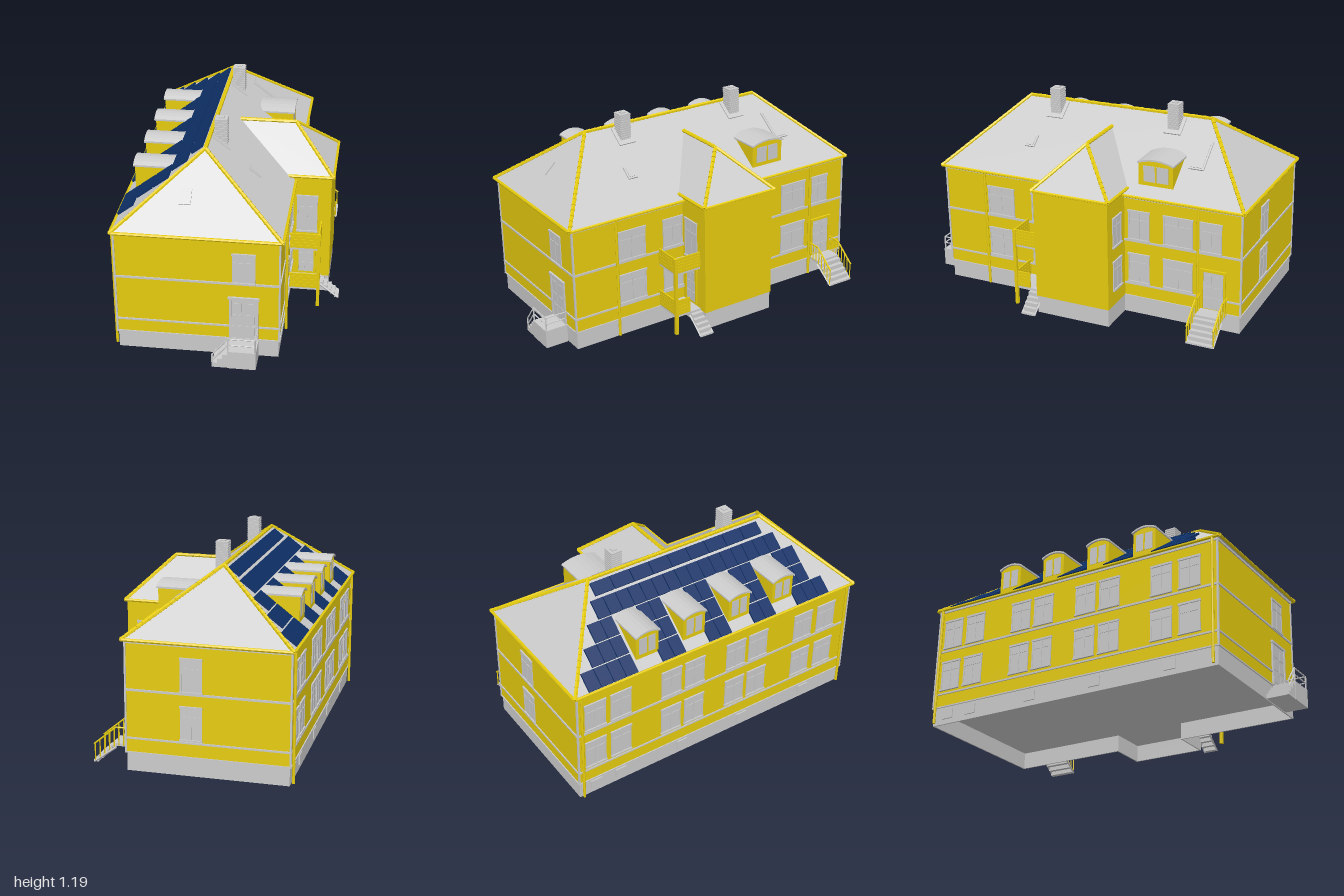
import * as THREE from 'three';
import { ConvexGeometry } from 'three/addons/geometries/ConvexGeometry.js';

const V = (x, y, z) => new THREE.Vector3(x, y, z);
const mat = (color) => new THREE.MeshStandardMaterial({ color, flatShading: true, side: THREE.DoubleSide });
const GREY = mat(0xcccccc), YELLOW = mat(0xe6cc0e), BLUE = mat(0x0d2f66);

// Main dimensions
const X0 = -0.567, X1 = 0.316, Z0 = -0.978, Z1 = 0.865; // main walls
const BX = 0.535, BZ0 = -0.287, BZ1 = 0.165;            // side bay
const BASE = 0.105, EAVE = 0.72, RIDGE = 1.065, RX = -0.1235;
const SLOPE = (RIDGE - EAVE) / 0.4565, ANGLE = Math.atan(SLOPE);
const roofY = (x) => RIDGE - SLOPE * Math.abs(x - RX);

function add(parent, name, geo, material, x = 0, y = 0, z = 0) {
  const m = new THREE.Mesh(geo, material);
  m.name = name;
  m.position.set(x, y, z);
  parent.add(m);
  return m;
}
// Box given by its limits
const span = (p, name, m, x0, x1, y0, y1, z0, z1) =>
  add(p, name, new THREE.BoxGeometry(x1 - x0, y1 - y0, z1 - z0), m, (x0 + x1) / 2, (y0 + y1) / 2, (z0 + z1) / 2);
// Round bar between two points
function bar(p, name, m, a, b, r, sides = 6, r2 = r) {
  const d = b.clone().sub(a);
  const c = add(p, name, new THREE.CylinderGeometry(r2, r, d.length(), sides), m);
  c.position.copy(a).lerp(b, 0.5);
  c.quaternion.setFromUnitVectors(V(0, 1, 0), d.normalize());
}
function group(parent, name) {
  const g = new THREE.Group();
  g.name = name;
  parent.add(g);
  return g;
}

// Group set on a wall, its +z pointing outwards
function onWall(p, name, side, u, y, plane) {
  const g = group(p, name);
  if (side === 'front' || side === 'back') g.position.set(u, y, plane);
  else g.position.set(plane, y, u);
  g.rotation.y = { front: 0, left: Math.PI / 2, back: Math.PI, right: -Math.PI / 2 }[side];
  return g;
}
function windowOn(p, side, u, y0, y1, w, plane) {
  const g = onWall(p, 'window', side, u, y0, plane), h = y1 - y0;
  span(g, 'pane', GREY, -w / 2, w / 2, 0, h, -0.005, 0.003);
  for (const x of [-w / 2, 0, w / 2]) span(g, 'upright', GREY, x - 0.004, x + 0.004, 0, h, 0, 0.006);
  span(g, 'transom', GREY, -w / 2, w / 2, h * 0.66, h * 0.66 + 0.007, 0, 0.006);
  span(g, 'lintel', GREY, -w / 2 - 0.007, w / 2 + 0.007, h - 0.012, h, 0, 0.009);
  span(g, 'sill', GREY, -w / 2 - 0.007, w / 2 + 0.007, -0.006, 0.004, 0, 0.011);
}
function doorOn(p, side, u, y0, y1, w, plane, frame) {
  const g = onWall(p, 'door', side, u, y0, plane), h = y1 - y0;
  span(g, 'leaf', GREY, -w / 2, w / 2, 0, h, -0.005, 0.004);
  for (const s of [-1, 1]) {
    span(g, 'jamb', frame, s * w / 2 - 0.006, s * w / 2 + 0.006, 0, h, 0, 0.01);
    for (let i = 0; i < 3; i++)
      span(g, 'doorPanel', GREY, s * w / 4 - w * 0.16, s * w / 4 + w * 0.16, h * (0.08 + i * 0.29), h * (0.29 + i * 0.29), 0, 0.007);
  }
  span(g, 'doorHead', frame, -w / 2 - 0.012, w / 2 + 0.012, h - 0.01, h + 0.004, 0, 0.012);
}

// Overlapping tapered tiles along a ridge or hip
function ridgeTiles(p, a, b) {
  const n = Math.round(a.distanceTo(b) / 0.035), step = b.clone().sub(a).divideScalar(n);
  for (let i = 0; i < n; i++)
    bar(p, 'ridgeTile', YELLOW, a.clone().addScaledVector(step, i), a.clone().addScaledVector(step, i + 1.15), 0.0125, 6, 0.0095);
}
// Thin plate lying on one of the long slopes
function onSlope(p, name, m, x, z, w, d, t) {
  const c = add(p, name, new THREE.BoxGeometry(w, t, d), m, x, roofY(x), z);
  c.rotation.z = x > RX ? -ANGLE : ANGLE;
  return c;
}

// Dormer with a shallow arched roof
function dormer(p, side, z, x, y, w, h, depth) {
  const g = onWall(p, 'dormer', side, z, y, x);
  const arch = (half, base, rise) => Array.from({ length: 7 }, (_, i) => {
    const t = 1 - i / 3;
    return new THREE.Vector2(half * t, base + rise * (1 - t * t));
  });
  const body = new THREE.Shape([new THREE.Vector2(-w / 2, 0), new THREE.Vector2(w / 2, 0), ...arch(w / 2, h, 0.022)]);
  add(g, 'dormerWalls', new THREE.ExtrudeGeometry(body, { depth, bevelEnabled: false }), YELLOW, 0, 0, -depth);
  const skin = new THREE.Shape([...arch(w / 2 + 0.006, h, 0.022), ...arch(w / 2 + 0.006, h + 0.01, 0.022).reverse()]);
  add(g, 'dormerRoof', new THREE.ExtrudeGeometry(skin, { depth: depth + 0.01, bevelEnabled: false }), GREY, 0, 0, -depth);
  span(g, 'dormerPane', GREY, -w * 0.36, w * 0.36, h * 0.3, h * 0.93, -0.004, 0.002);
  span(g, 'dormerMullion', YELLOW, -0.004, 0.004, h * 0.3, h * 0.93, 0, 0.005);
}

function chimney(p, z) {
  const g = group(p, 'chimney'), x = -0.065, top = 1.152, n = 13, bottom = 0.98;
  onSlope(g, 'flashing', GREY, x + 0.005, z, 0.12, 0.105, 0.014);
  const pitch = (top - bottom) / n;
  for (let i = 0; i < n; i++) {
    const y = bottom + i * pitch;
    span(g, 'mortar', GREY, x - 0.031, x + 0.031, y, y + pitch, z - 0.029, z + 0.029);
    span(g, 'brickCourse', GREY, x - 0.035, x + 0.035, y + pitch * 0.25, y + pitch, z - 0.033, z + 0.033);
  }
  span(g, 'flue', GREY, x - 0.015, x + 0.015, top, top + 0.006, z - 0.015, z + 0.015);
}

function hipRoof(p, name, eaves, ridge, gutters) {
  const g = group(p, name);
  add(g, 'roofSlopes', new ConvexGeometry([...eaves, ...ridge]), GREY);
  ridgeTiles(g, ridge[0], ridge[1]);
  for (const [a, b] of gutters) bar(g, 'gutter', YELLOW, a, b, 0.009);
  return g;
}

// Treads going down towards +x between two stringers
function stairs(p, x0, x1, yTop, yEnd, z0, z1, n) {
  const g = group(p, 'stairs'), dx = (x1 - x0) / n, dy = (yTop - yEnd) / n;
  for (let i = 0; i < n; i++) {
    const y = yTop - dy * (i + 1);
    span(g, 'tread', GREY, x0 + i * dx, x0 + (i + 1) * dx + 0.004, y, y + 0.01, z0, z1);
    span(g, 'riser', GREY, x0 + i * dx, x0 + i * dx + 0.004, y, y + dy, z0, z1);
  }
  for (const z of [z0, z1]) bar(g, 'stringer', GREY, V(x0, yTop - dy, z), V(x1, yEnd, z), 0.006, 4);
}

export function createModel() {
  const model = new THREE.Group();
  model.name = 'house';
  const house = group(model, 'building');
  house.position.y = 0.02;
  house.rotation.set(0.02, 0.0125, 0);

  // Hollow foundation, floor and walls
  const outline = (o) => [[X0 + o, Z0 + o], [X1 - o, Z0 + o], [X1 - o, BZ0 + o], [BX - o, BZ0 + o], [BX - o, BZ1 - o],
    [X1 - o, BZ1 - o], [X1 - o, Z1 - o], [X0 + o, Z1 - o]].map(([x, z]) => new THREE.Vector2(x, -z));
  const ring = new THREE.Shape(outline(0.004));
  ring.holes.push(new THREE.Path(outline(0.012)));
  const extrude = (shape, depth) => new THREE.ExtrudeGeometry(shape, { depth, bevelEnabled: false }).rotateX(-Math.PI / 2);
  add(house, 'foundation', extrude(ring, BASE), GREY);
  add(house, 'floor', extrude(new THREE.Shape(outline(0.008)), 0.006), GREY, 0, BASE - 0.007, 0);
  span(house, 'mainWalls', YELLOW, X0, X1, BASE, EAVE, Z0, Z1);
  span(house, 'bayWalls', YELLOW, 0.25, BX, BASE, 0.75, BZ0, BZ1);

  // String courses and corner strips
  for (const [y, t] of [[BASE, 0.008], [0.185, 0.01], [0.45, 0.012], [0.708, 0.012]]) {
    for (const [z0, z1] of [[Z0, BZ0], [BZ1, Z1]]) span(house, 'stringCourse', GREY, X1, X1 + 0.006, y - t / 2, y + t / 2, z0, z1);
    span(house, 'stringCourse', GREY, X0 - 0.006, X0, y - t / 2, y + t / 2, Z0, Z1);
    for (const z of [Z0 - 0.003, Z1 + 0.003]) span(house, 'stringCourse', GREY, X0 - 0.006, X1 + 0.006, y - t / 2, y + t / 2, z - 0.003, z + 0.003);
  }
  for (const x of [X0, X1]) for (const z of [Z0, Z1])
    span(house, 'cornerStrip', GREY, x - 0.005, x + 0.005, BASE, EAVE, z - 0.005, z + 0.005);

  // Main roof
  const ex0 = -0.58, ex1 = 0.333, ez0 = -0.993, ez1 = 0.885;
  const e = [V(ex0, EAVE, ez0), V(ex1, EAVE, ez0), V(ex1, EAVE, ez1), V(ex0, EAVE, ez1)];
  const r = [V(RX, RIDGE, -0.63), V(RX, RIDGE, 0.52)];
  const main = hipRoof(house, 'mainRoof', e, r, [[e[0], e[1]], [e[2], e[3]], [e[3], e[0]],
    [e[1], V(ex1, EAVE, BZ0)], [V(ex1, EAVE, BZ1), e[2]]]);
  [[0, 0], [1, 0], [2, 1], [3, 1]].forEach(([i, j]) => ridgeTiles(main, e[i], r[j]));

  // Bay roof, running into the main slope
  const bz0 = BZ0 - 0.01, bz1 = BZ1 + 0.008, bm = (bz0 + bz1) / 2, by = 0.75, bx = 0.545;
  const be = [V(0.29, by, bz0), V(bx, by, bz0), V(bx, by, bz1), V(0.29, by, bz1)];
  const br = [V(-0.01, 0.98, bm), V(0.31, 0.98, bm)];
  const bay = hipRoof(house, 'bayRoof', be, br, [[be[0], be[1]], [be[1], be[2]], [be[2], be[3]]]);
  ridgeTiles(bay, be[1], br[1]);
  ridgeTiles(bay, be[2], br[1]);

  // Chimneys, dormers and skylights
  for (const z of [0.31, -0.432]) chimney(house, z);
  for (let i = 0; i < 4; i++) dormer(house, 'right', -0.513 + i * 0.302, -0.522, 0.74, 0.142, 0.165, 0.22);
  dormer(house, 'left', -0.455, 0.265, 0.75, 0.205, 0.147, 0.2);
  for (const [x, z, w, d] of [[0.13, 0.385, 0.08, 0.058], [0.075, -0.645, 0.19, 0.09]]) {
    onSlope(house, 'skylightFrame', GREY, x, z, w, d, 0.016);
    onSlope(house, 'skylightPane', GREY, x, z, w - 0.02, d - 0.02, 0.022);
  }
  const hatch = add(house, 'frontSkylight', new THREE.BoxGeometry(0.062, 0.016, 0.09), GREY, -0.2, 0.875, 0.721);
  hatch.rotation.x = Math.atan((RIDGE - EAVE) / (ez1 - 0.52));

  // Solar panels, leaving gaps for the dormers
  const solar = group(house, 'solarPanels');
  const panel = (x, z, w, d) => onSlope(solar, 'solarPanel', BLUE, x, z, w / Math.cos(ANGLE), d, 0.024);
  [[0, 20], [1, 19], [2, 19], [3, 18]].forEach(([first, last], col) => {
    for (let k = first; k <= last; k++)
      if (col === 3 || k < 4 || k > 17 || k % 4 > 1) panel(-0.53 + col * 0.09, -0.87 + k * 0.0765, 0.084, 0.072);
  });
  for (let k = 0; k < 9; k++) panel(-0.174, -0.575 + k * 0.124, 0.06, 0.119);

  // Windows and doors
  const lower = [0.2, 0.375], upper = [0.46, 0.635];
  for (const [y0, y1] of [lower, upper]) {
    for (const [z, w] of [[0.5, 0.165], [0.235, 0.12], [-0.375, 0.12], [-0.61, 0.165]]) windowOn(house, 'left', z, y0, y1, w, X1);
    for (const z of [-0.87, -0.71, -0.385, -0.23, 0.05, 0.205, 0.53, 0.7]) windowOn(house, 'right', z, y0 + 0.01, y1 + 0.01, 0.12, X0);
    windowOn(house, 'back', -0.04, y0, y1 + 0.01, 0.11, Z0);
    windowOn(house, 'back', 0.42, y0, y1, 0.1, BZ0);
  }
  windowOn(house, 'left', -0.8, upper[0], upper[1], 0.12, X1);
  windowOn(house, 'front', 0.125, 0.455, 0.635, 0.115, Z1);
  windowOn(house, 'front', 0.4, 0.4, 0.63, 0.11, BZ1);
  doorOn(house, 'front', 0.4, 0.13, 0.345, 0.1, BZ1, YELLOW);
  doorOn(house, 'front', 0.125, 0.11, 0.365, 0.145, Z1, GREY);
  doorOn(house, 'left', -0.82, 0.12, 0.355, 0.13, X1, YELLOW);
  for (const z of [-0.87, -0.71, -0.3, 0.12, 0.58]) span(house, 'cellarWindow', GREY, X0 - 0.003, X0 + 0.02, 0.03, 0.085, z - 0.035, z + 0.035);

  // Downpipes
  for (const [x, z] of [[X0 - 0.012, 0.84], [X0 - 0.012, -0.955], [X1 + 0.012, 0.6], [X1 + 0.012, -0.73]])
    bar(house, 'downpipe', YELLOW, V(x, 0.01, z), V(x, EAVE, z), 0.008, 8);

  // Front porch with side steps and railing
  const porch = group(house, 'frontPorch');
  span(porch, 'landing', GREY, 0.052, 0.205, 0, 0.105, Z1, 0.998);
  for (let i = 0; i < 3; i++) span(porch, 'step', GREY, -0.032 + i * 0.028, 0.052, i * 0.027, (i + 1) * 0.027, Z1, 0.995);
  for (const h of [0.04, 0.078]) {
    bar(porch, 'rail', GREY, V(0.055, 0.105 + h, 0.992), V(0.2, 0.105 + h, 0.992), 0.004);
    bar(porch, 'rail', GREY, V(0.2, 0.105 + h, 0.992), V(0.2, 0.105 + h, Z1), 0.004);
    bar(porch, 'rail', GREY, V(0.055, 0.105 + h, 0.992), V(-0.03, h, 0.992), 0.004);
  }
  for (const [x, y] of [[-0.03, 0], [0.055, 0.105], [0.2, 0.105]]) bar(porch, 'railPost', GREY, V(x, y, 0.992), V(x, y + 0.08, 0.992), 0.005);

  // Two-storey balcony beside the bay
  const balcony = group(house, 'balcony');
  const px = 0.483, pz = 0.325;
  span(balcony, 'balconyPost', YELLOW, px - 0.009, px + 0.009, 0, 0.468, pz - 0.009, pz + 0.009);
  for (const [y, sideStart] of [[0.115, 0.235], [0.375, BZ1]]) {
    span(balcony, 'deck', GREY, X1, px, y - 0.012, y, BZ1, pz);
    for (let i = 0; i < 5; i++) {
      const b = y + 0.002 + i * 0.0185;
      span(balcony, 'board', YELLOW, X1, px, b, b + 0.017, pz - 0.004, pz + 0.004);
      span(balcony, 'board', YELLOW, px - 0.004, px + 0.004, b, b + 0.017, sideStart, pz);
    }
  }
  stairs(balcony, px, 0.595, 0.115, 0.005, 0.155, 0.235, 5);

  // Back side entrance: landing, stairs and baluster railing
  const entry = group(house, 'sideEntrance');
  span(entry, 'landing', GREY, X1, 0.4, 0.1, 0.115, -0.9, -0.745);
  stairs(entry, 0.4, 0.525, 0.115, 0.0, -0.9, -0.745, 5);
  for (const z of [-0.9, -0.745]) {
    bar(entry, 'handrail', YELLOW, V(X1, 0.205, z), V(0.4, 0.205, z), 0.005);
    bar(entry, 'handrail', YELLOW, V(0.4, 0.205, z), V(0.525, 0.1, z), 0.005);
    for (let i = 0; i < 8; i++) {
      const x = 0.33 + i * 0.027, drop = Math.max(0, x - 0.4) * 0.84;
      bar(entry, 'baluster', YELLOW, V(x, 0.105 - drop, z), V(x, 0.205 - drop, z), 0.004, 4);
    }
  }
  return model;
}
